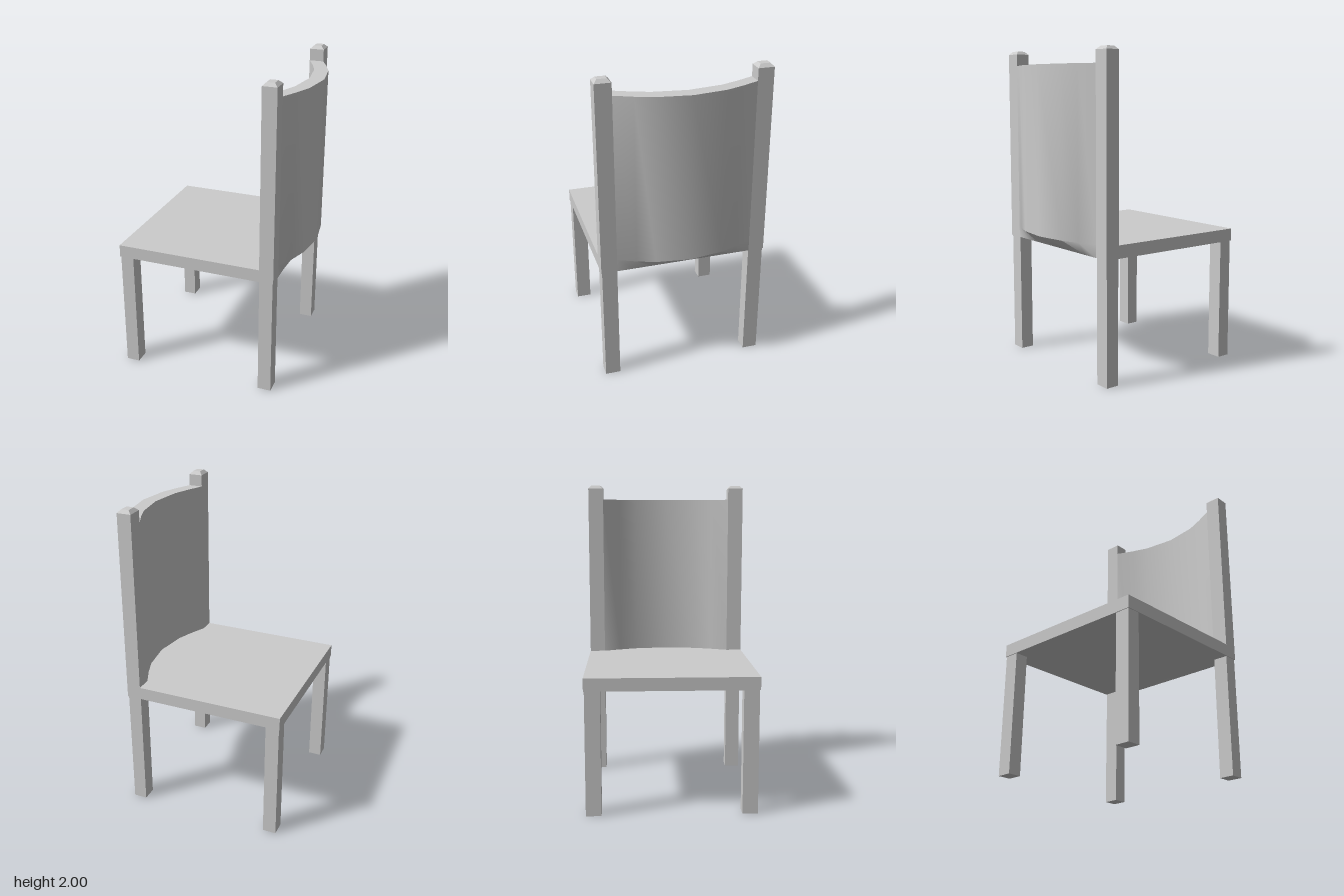
import * as THREE from 'three';
import { toCreasedNormals } from 'three/addons/utils/BufferGeometryUtils.js';

const material = new THREE.MeshStandardMaterial({ color: 0xcccccc });

const SEAT_BOTTOM = 0.775, SEAT_TOP = 0.855, BACK_TOP = 1.905;
const POST_FRONT = 0.36, POST_BACK = 0.45;

function addMesh(group, name, geometry) {
  const mesh = new THREE.Mesh(geometry, material);
  mesh.name = name;
  group.add(mesh);
  return mesh;
}

// Box given by its limits along each axis
function addBox(group, name, [x0, x1], [y0, y1], [z0, z1]) {
  const geometry = new THREE.BoxGeometry(x1 - x0, y1 - y0, z1 - z0);
  const mesh = addMesh(group, name, geometry);
  mesh.position.set((x0 + x1) / 2, (y0 + y1) / 2, (z0 + z1) / 2);
  return mesh;
}

// Bowed back panel: one closed xy section per z station
function backrestGeometry() {
  const half = [[0.43, 0], [0.32, 0.05], [0.21, 0.091], [0, 0.12]]; // z, bow
  const stations = [
    ...half.map(([z, bow]) => [-z, bow]),
    ...half.slice(0, 3).reverse(),
  ];
  const positions = [], index = [], n = 7;
  for (const [z, bow] of stations) {
    const inner = POST_FRONT + bow, outer = POST_BACK + bow;
    const section = [
      [POST_FRONT, SEAT_BOTTOM], [POST_BACK, SEAT_BOTTOM], // under the seat
      [outer, SEAT_TOP], [outer, BACK_TOP],                // sloped underside, outside
      [inner, BACK_TOP], [inner, SEAT_TOP],                // top and inside
      [POST_FRONT, SEAT_TOP],                              // seat extension
    ];
    for (const [x, y] of section) positions.push(x, y, z);
  }
  for (let s = 0; s < stations.length - 1; s++) {
    for (let j = 0; j < n; j++) {
      const k = (j + 1) % n;
      const a0 = s * n + j, b0 = s * n + k, a1 = a0 + n, b1 = b0 + n;
      index.push(a0, b0, b1, a0, b1, a1);
    }
  }
  const geometry = new THREE.BufferGeometry();
  geometry.setAttribute('position', new THREE.Float32BufferAttribute(positions, 3));
  geometry.setIndex(index);
  return toCreasedNormals(geometry, 0.7);
}

// Low pyramid frustum for the top of a post
function capGeometry() {
  const geometry = new THREE.BoxGeometry(0.09, 0.02, 0.1);
  const p = geometry.attributes.position;
  for (let i = 0; i < p.count; i++) {
    if (p.getY(i) > 0) p.setXYZ(i, p.getX(i) * 0.53, p.getY(i), p.getZ(i) * 0.6);
  }
  const flat = geometry.toNonIndexed();
  flat.computeVertexNormals();
  return flat;
}

export function createModel() {
  const model = new THREE.Group();
  model.name = 'chair';

  addBox(model, 'seat', [-0.575, POST_FRONT], [SEAT_BOTTOM, SEAT_TOP], [-0.53, 0.53]);
  addMesh(model, 'backrest', backrestGeometry());

  for (const side of [-1, 1]) {
    const span = (a, b) => [a * side, b * side].sort((p, q) => p - q);
    const label = side > 0 ? 'left' : 'right';

    // Legs, set slightly in from the seat edge
    addBox(model, label + 'FrontLeg', [-0.57, -0.485], [0, SEAT_BOTTOM], span(0.43, 0.525));
    addBox(model, label + 'BackLeg', [POST_FRONT, 0.445], [0, SEAT_BOTTOM], span(0.43, 0.525));

    // Back posts with bevelled caps
    addBox(model, label + 'Post', [POST_FRONT, POST_BACK], [SEAT_BOTTOM, 1.98], span(0.43, 0.53));
    addMesh(model, label + 'PostCap', capGeometry()).position.set(0.405, 1.99, side * 0.48);
  }
  return model;
}
